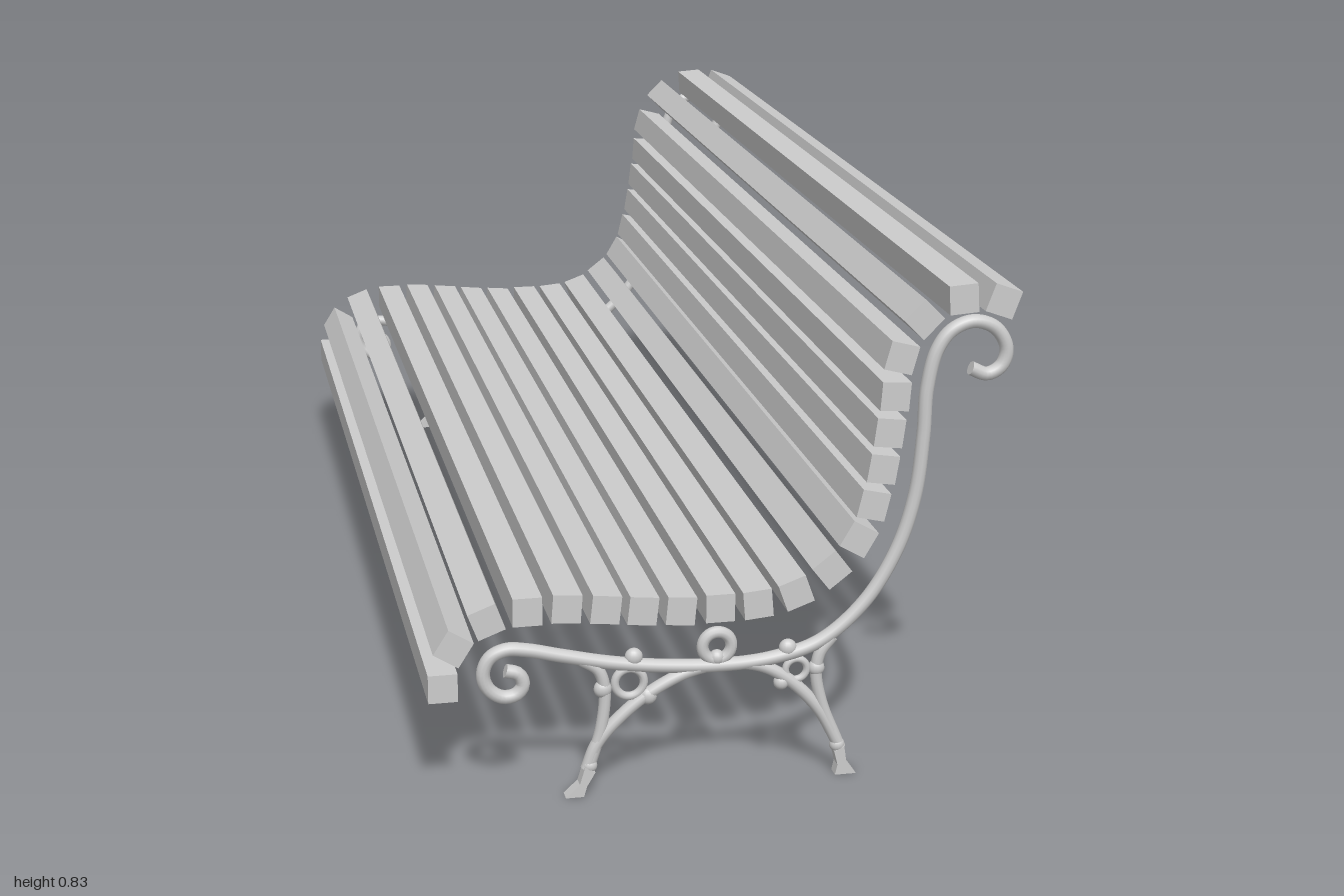
import * as THREE from 'three';

const grey = new THREE.MeshStandardMaterial({ color: 0xcccccc });

function mesh(name, geometry, x = 0, y = 0, z = 0) {
  const m = new THREE.Mesh(geometry, grey);
  m.name = name;
  m.position.set(x, y, z);
  return m;
}

// Round iron bar along a smooth path in the xy plane, with closed ends
function bar(name, points, radius, segments) {
  const curve = new THREE.CatmullRomCurve3(points.map(([x, y]) => new THREE.Vector3(x, y, 0)));
  const group = new THREE.Group();
  group.name = name;
  group.add(mesh(name + 'Tube', new THREE.TubeGeometry(curve, segments, radius, 12)));
  for (const t of [0, 1]) {
    const p = curve.getPointAt(t);
    const out = curve.getTangentAt(t).multiplyScalar(t ? 1 : -1);
    const cap = mesh(name + 'End', new THREE.CircleGeometry(radius, 12), p.x, p.y, 0);
    cap.quaternion.setFromUnitVectors(new THREE.Vector3(0, 0, 1), out);
    group.add(cap);
  }
  return group;
}

// Seat and back slats: centre x, centre y, tilt in degrees
const SLATS = [
  [-0.462, 0.203, 0], [-0.444, 0.27, -32], [-0.39, 0.312, 21], [-0.324, 0.324, 0],
  [-0.26, 0.324, -4], [-0.196, 0.318, -6], [-0.135, 0.311, -6], [-0.072, 0.306, -5],
  [-0.007, 0.306, 0], [0.056, 0.308, 5], [0.12, 0.322, 20], [0.179, 0.358, 38],
  [0.223, 0.408, -30], [0.246, 0.465, -13], [0.26, 0.526, -9], [0.269, 0.587, -7],
  [0.277, 0.648, -4], [0.285, 0.712, -15], [0.32, 0.774, -45], [0.385, 0.804, 4],
  [0.452, 0.797, -20],
];

// Side rail, from the front scroll along the seat and up to the top scroll
const RAIL = [
  [-0.362, 0.229], [-0.341, 0.222], [-0.333, 0.203], [-0.344, 0.187], [-0.367, 0.184],
  [-0.39, 0.2], [-0.398, 0.226], [-0.387, 0.253], [-0.361, 0.265], [-0.328, 0.262],
  [-0.268, 0.247], [-0.19, 0.229], [-0.1, 0.216], [0, 0.21], [0.082, 0.216],
  [0.159, 0.239], [0.232, 0.301], [0.284, 0.387], [0.312, 0.478], [0.323, 0.582],
  [0.326, 0.66], [0.341, 0.725], [0.364, 0.756], [0.4, 0.769], [0.437, 0.756],
  [0.457, 0.722], [0.45, 0.693], [0.426, 0.68], [0.398, 0.691],
];

// Arch that forms both legs
const ARCH = [
  [-0.23, 0.045], [-0.213, 0.088], [-0.177, 0.13], [-0.126, 0.171], [-0.06, 0.203],
  [0, 0.212], [0.06, 0.203], [0.108, 0.174], [0.159, 0.119], [0.19, 0.062], [0.198, 0.045],
];
const FRONT_STRUT = [[-0.222, 0.06], [-0.206, 0.114], [-0.2, 0.184], [-0.211, 0.218], [-0.24, 0.238]];
const BACK_STRUT = [[0.193, 0.057], [0.165, 0.127], [0.154, 0.184], [0.16, 0.218], [0.18, 0.245]];

// Rings: x, y, ring radius, bar radius
const RINGS = [[-0.014, 0.244, 0.024, 0.01], [-0.159, 0.192, 0.024, 0.007], [0.12, 0.192, 0.018, 0.006]];

// Ornamental knobs: x, y, radius
const KNOBS = [
  [-0.014, 0.224, 0.013], [-0.152, 0.236, 0.015], [-0.203, 0.184, 0.015], [-0.128, 0.166, 0.015],
  [0.105, 0.231, 0.015], [0.154, 0.192, 0.014], [0.095, 0.171, 0.013],
  [-0.225, 0.051, 0.013], [0.193, 0.051, 0.013],
];

// Flared flat foot
function foot(name, corners) {
  const shape = new THREE.Shape(corners.map(([x, y]) => new THREE.Vector2(x, y)));
  const geometry = new THREE.ExtrudeGeometry(shape, { depth: 0.022, bevelEnabled: false });
  return mesh(name, geometry.translate(0, 0, -0.011));
}

function endFrame(name) {
  const frame = new THREE.Group();
  frame.name = name;
  frame.add(bar('scrollRail', RAIL, 0.0115, 220));
  frame.add(bar('legArch', ARCH, 0.0105, 80));
  frame.add(bar('frontStrut', FRONT_STRUT, 0.01, 32));
  frame.add(bar('backStrut', BACK_STRUT, 0.01, 32));
  for (const [x, y, r, tube] of RINGS) frame.add(mesh('ring', new THREE.TorusGeometry(r, tube, 10, 32), x, y));
  for (const [x, y, r] of KNOBS) {
    const knob = mesh('knob', new THREE.SphereGeometry(r, 16, 12), x, y);
    knob.scale.z = 0.012 / r;
    frame.add(knob);
  }
  frame.add(foot('frontFoot', [[-0.266, 0], [-0.236, 0], [-0.231, 0.018], [-0.217, 0.042], [-0.234, 0.052], [-0.243, 0.022]]));
  frame.add(foot('backFoot', [[0.188, 0], [0.224, 0], [0.207, 0.024], [0.203, 0.05], [0.186, 0.042], [0.192, 0.018]]));
  return frame;
}

export function createModel() {
  const bench = new THREE.Group();
  bench.name = 'bench';

  const slats = new THREE.Group();
  slats.name = 'slats';
  const plank = new THREE.BoxGeometry(0.048, 0.048, 1.965);
  for (const [x, y, tilt] of SLATS) {
    const slat = mesh('slat', plank, x, y);
    slat.rotation.z = THREE.MathUtils.degToRad(tilt);
    slats.add(slat);
  }
  bench.add(slats);

  // A matching iron frame at each end
  for (const side of [1, -1]) {
    const frame = endFrame(side > 0 ? 'frontEndFrame' : 'rearEndFrame');
    frame.position.z = side * 0.988;
    bench.add(frame);
  }
  return bench;
}
